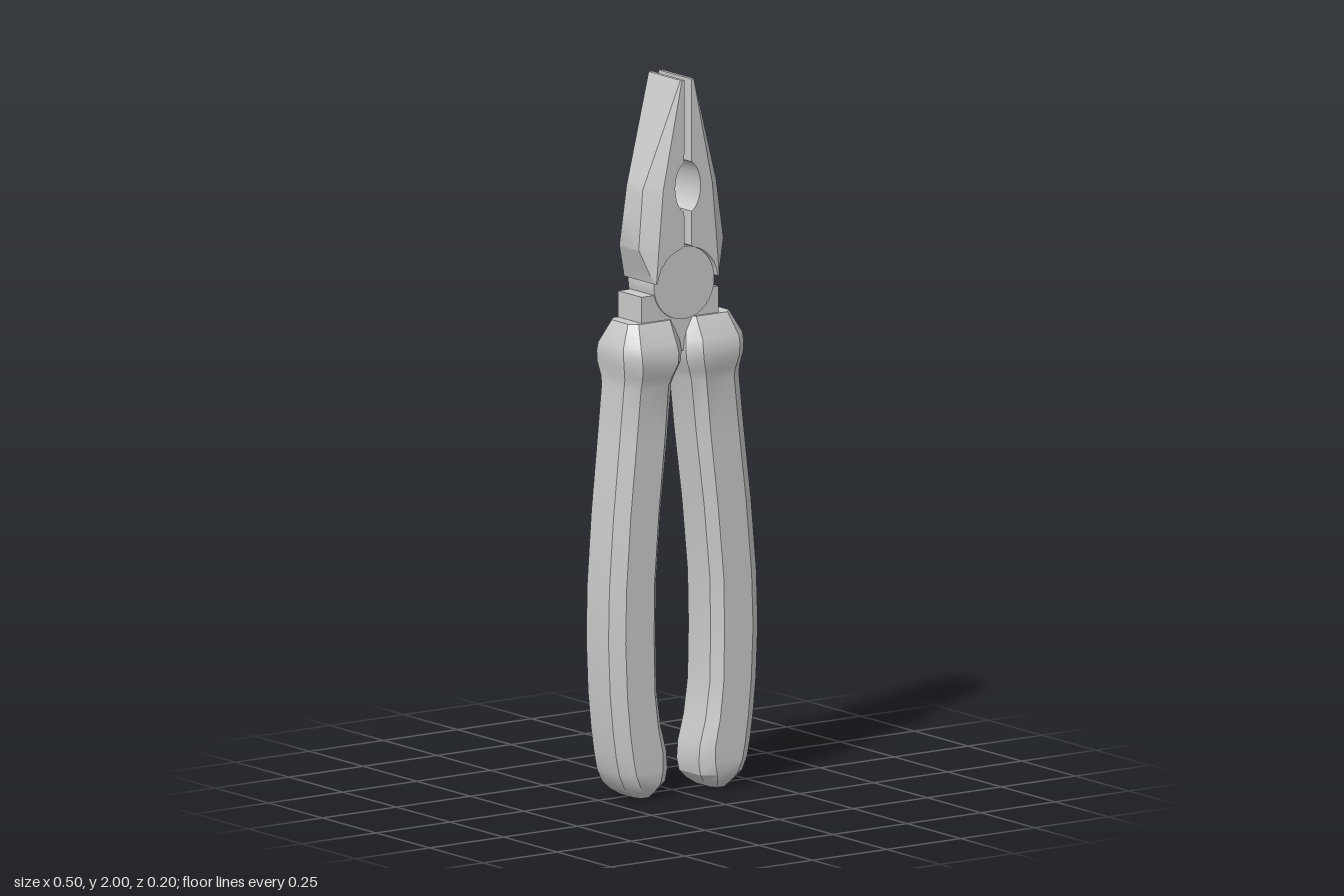
import * as THREE from 'three';
import { toCreasedNormals } from 'three/addons/utils/BufferGeometryUtils.js';

const material = new THREE.MeshStandardMaterial({ color: 0xcccccc });

function part(name, geometry, x = 0, y = 0, z = 0) {
  const mesh = new THREE.Mesh(geometry, material);
  mesh.name = name;
  mesh.position.set(x, y, z);
  return mesh;
}

// Skin a stack of convex rings (top to bottom); side = -1 mirrors it in x
function loft(rings, side) {
  const n = rings[0].length;
  const points = rings.flat().flatMap(([x, y, z]) => [x * side, y, z]);
  const index = [];
  const tri = (a, b, c) => (side > 0 ? index.push(a, b, c) : index.push(a, c, b));
  for (let i = 0; i < rings.length - 1; i++) {
    for (let j = 0; j < n; j++) {
      const a = i * n + j, b = i * n + (j + 1) % n;
      tri(a, b, b + n);
      tri(a, b + n, a + n);
    }
  }
  const last = (rings.length - 1) * n;
  for (let j = 1; j < n - 1; j++) {
    tri(0, j + 1, j);
    tri(last, last + j, last + j + 1);
  }
  const geometry = new THREE.BufferGeometry();
  geometry.setAttribute('position', new THREE.Float32BufferAttribute(points, 3));
  geometry.setIndex(index);
  return toCreasedNormals(geometry, 0.5);
}

// Linear lookup in rows of [y, a, b, ...] sorted downwards
function sample(rows, y) {
  let i = 0;
  while (i < rows.length - 2 && y < rows[i + 1][0]) i++;
  const [p, q] = [rows[i], rows[i + 1]];
  const t = (p[0] - y) / (p[0] - q[0]);
  return p.map((v, k) => v + (q[k] - v) * t);
}

// Jaw: y, crease x, outer x, half depth of the outer face
const JAW = [
  [2.0, 0.02, 0.023, 0.074],
  [1.7, 0.083, 0.124, 0.038],
  [1.535, 0.098, 0.143, 0.045],
  [1.44, 0.106, 0.109, 0.07],
];
const PIVOT_Y = 1.43, PIVOT_R = 0.102;

// Inner jaw edge: straight grip, oval pipe notch, hollow around the pivot
function jawInner(y) {
  let x = 0.012;
  const notch = 1 - ((y - 1.7) / 0.072) ** 2;
  if (notch > 0) x = Math.max(x, 0.043 * Math.sqrt(notch));
  const hollow = PIVOT_R ** 2 - (y - PIVOT_Y) ** 2;
  if (hollow > 0) x = Math.max(x, Math.sqrt(hollow));
  return x;
}

function jaw(side) {
  const heights = [2.0];
  for (let i = 0; i <= 12; i++) heights.push(1.7 + 0.069 * Math.cos((i / 12) * Math.PI));
  heights.push(1.535, 1.53, 1.525, 1.515, 1.5, 1.48, 1.46, 1.44);
  const h = 0.077;
  const rings = heights.map((y) => {
    const [, crease, outer, s] = sample(JAW, y);
    const inner = jawInner(y);
    return [[inner, y, -h], [crease, y, -h], [outer, y, -s], [outer, y, s], [crease, y, h], [inner, y, h]];
  });
  return part(side > 0 ? 'leftJaw' : 'rightJaw', loft(rings, side), 0, 0, -0.003);
}

// Grip: y, inner x, outer x, half depth, inner chamfer, outer chamfer
const GRIP = [
  [1.332, 0.026, 0.17, 0.06, 0.018, 0.02],
  [1.27, 0.01, 0.201, 0.092, 0.034, 0.036],
  [1.245, 0.007, 0.203, 0.098, 0.034, 0.038],
  [1.215, 0.01, 0.201, 0.098, 0.034, 0.038],
  [1.18, 0.025, 0.194, 0.088, 0.032, 0.037],
  [1.155, 0.034, 0.194, 0.081, 0.03, 0.037],
  [1.0, 0.05, 0.21, 0.081, 0.028, 0.037],
  [0.8, 0.074, 0.232, 0.081, 0.026, 0.037],
  [0.6, 0.091, 0.248, 0.081, 0.026, 0.037],
  [0.45, 0.093, 0.252, 0.081, 0.026, 0.037],
  [0.3, 0.09, 0.246, 0.081, 0.026, 0.037],
  [0.2, 0.076, 0.236, 0.081, 0.028, 0.037],
  [0.13, 0.057, 0.226, 0.081, 0.032, 0.037],
  [0.08, 0.053, 0.216, 0.081, 0.036, 0.037],
  [0.045, 0.06, 0.2, 0.079, 0.036, 0.036],
  [0.022, 0.08, 0.178, 0.066, 0.026, 0.028],
  [0.005, 0.105, 0.15, 0.05, 0.01, 0.01],
];

function grip(side) {
  const rings = GRIP.map(([y, a, b, h, ca, cb]) => {
    const s = h * 0.64;
    // The two arms sit slightly off centre towards the pivot
    const d = -0.006 * side * THREE.MathUtils.clamp((y - 0.5) / 0.6, 0, 1);
    return [
      [a + ca, -h], [b - cb, -h], [b, -s], [b, s],
      [b - cb, h], [a + ca, h], [a, s], [a, -s],
    ].map(([x, z]) => [x + d, y, z]);
  });
  return part(side > 0 ? 'leftGrip' : 'rightGrip', loft(rings, side));
}

export function createModel() {
  const group = new THREE.Group();
  group.name = 'pliers';
  for (const side of [1, -1]) group.add(jaw(side), grip(side));

  // Pivot disc
  const disc = new THREE.CylinderGeometry(PIVOT_R, PIVOT_R, 0.12, 32).rotateX(Math.PI / 2);
  group.add(part('pivotDisc', toCreasedNormals(disc, 0.5), 0, PIVOT_Y, -0.004));

  // Metal shanks joining the pivot to the grips
  group.add(part('rightShank', new THREE.BoxGeometry(0.145, 0.165, 0.11), -0.0675, 1.3225, -0.003));
  group.add(part('leftShank', new THREE.BoxGeometry(0.115, 0.165, 0.095), 0.0625, 1.3225, 0.0045));
  return group;
}
